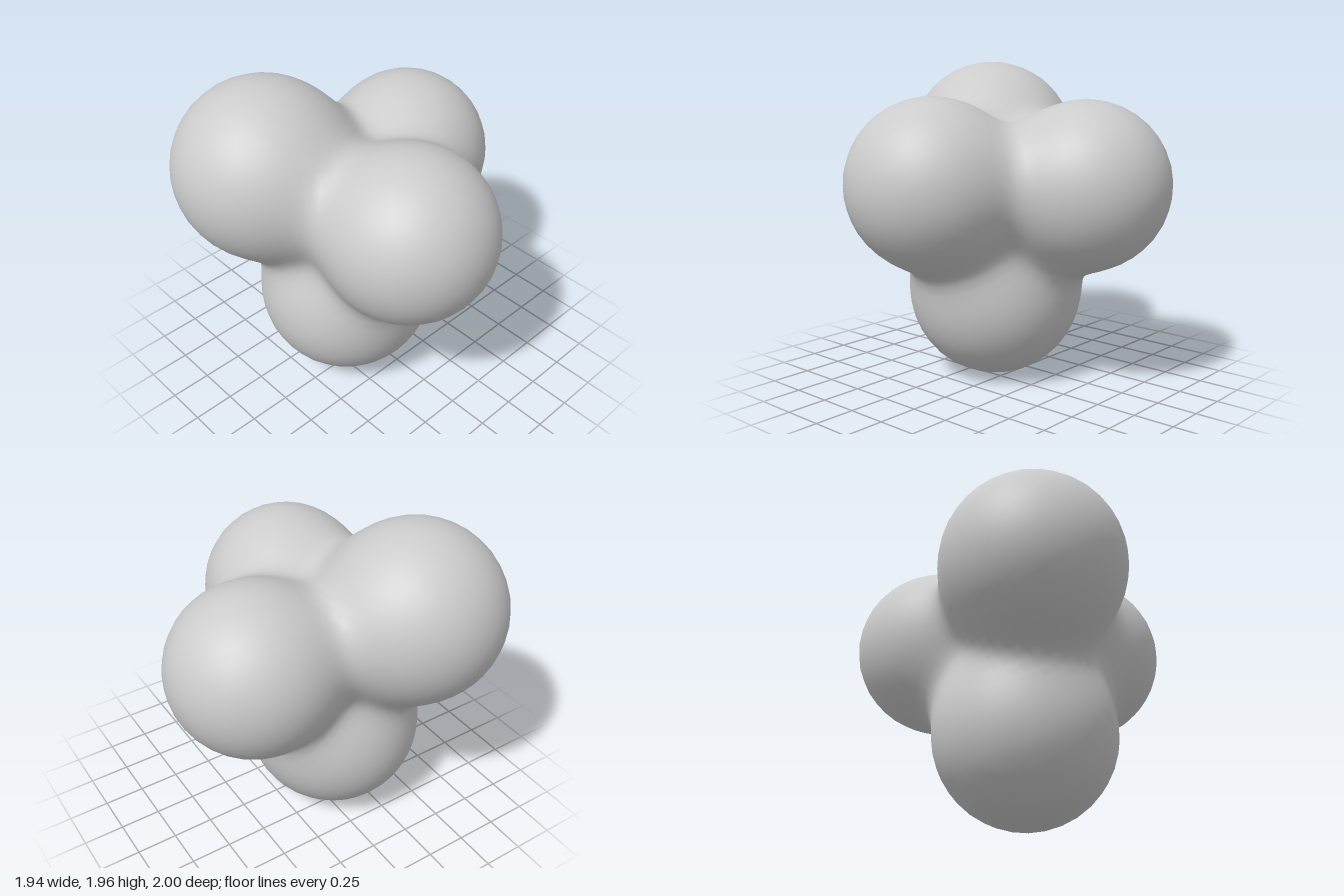
import * as THREE from 'three';
import { mergeVertices } from 'three/addons/utils/BufferGeometryUtils.js';

// Four balls melted together: centre and radius of each
const BALLS = [
  { c: new THREE.Vector3(-0.43, 1.42, 0.45), r: 0.545 }, // front upper
  { c: new THREE.Vector3(0.46, 1.255, 0.13), r: 0.51 }, // left side
  { c: new THREE.Vector3(-0.2, 1.24, -0.5), r: 0.505 }, // back
  { c: new THREE.Vector3(-0.095, 0.54, 0.125), r: 0.54 }, // bottom
];
const BLEND = 0.1; // softness of the necks between balls
const CORE = new THREE.Vector3(-0.07, 1.12, 0.05);

// Smooth union distance to the balls
function distance(p) {
  let sum = 0;
  for (const { c, r } of BALLS) sum += Math.exp(-(p.distanceTo(c) - r) / BLEND);
  return -BLEND * Math.log(sum);
}

// Shrink a fine sphere inward along its rays until it meets the blended surface
function blobGeometry() {
  let geometry = new THREE.IcosahedronGeometry(1, 13);
  geometry.deleteAttribute('uv');
  geometry.deleteAttribute('normal');
  geometry = mergeVertices(geometry, 1e-4);
  const position = geometry.attributes.position;
  const dir = new THREE.Vector3();
  const p = new THREE.Vector3();
  for (let i = 0; i < position.count; i++) {
    dir.fromBufferAttribute(position, i).normalize();
    let t = 1.6;
    for (let step = 0; step < 120; step++) {
      p.copy(CORE).addScaledVector(dir, t);
      const d = distance(p);
      if (d < 1e-4 || t < 0.05) break;
      t -= d;
    }
    position.setXYZ(i, p.x, p.y, p.z);
  }
  geometry.computeVertexNormals();
  return geometry;
}

export function createModel() {
  const group = new THREE.Group();
  group.name = 'blobCluster';
  const material = new THREE.MeshStandardMaterial({ color: 0xcccccc });
  const blob = new THREE.Mesh(blobGeometry(), material);
  blob.name = 'mergedBalls';
  group.add(blob);
  return group;
}
